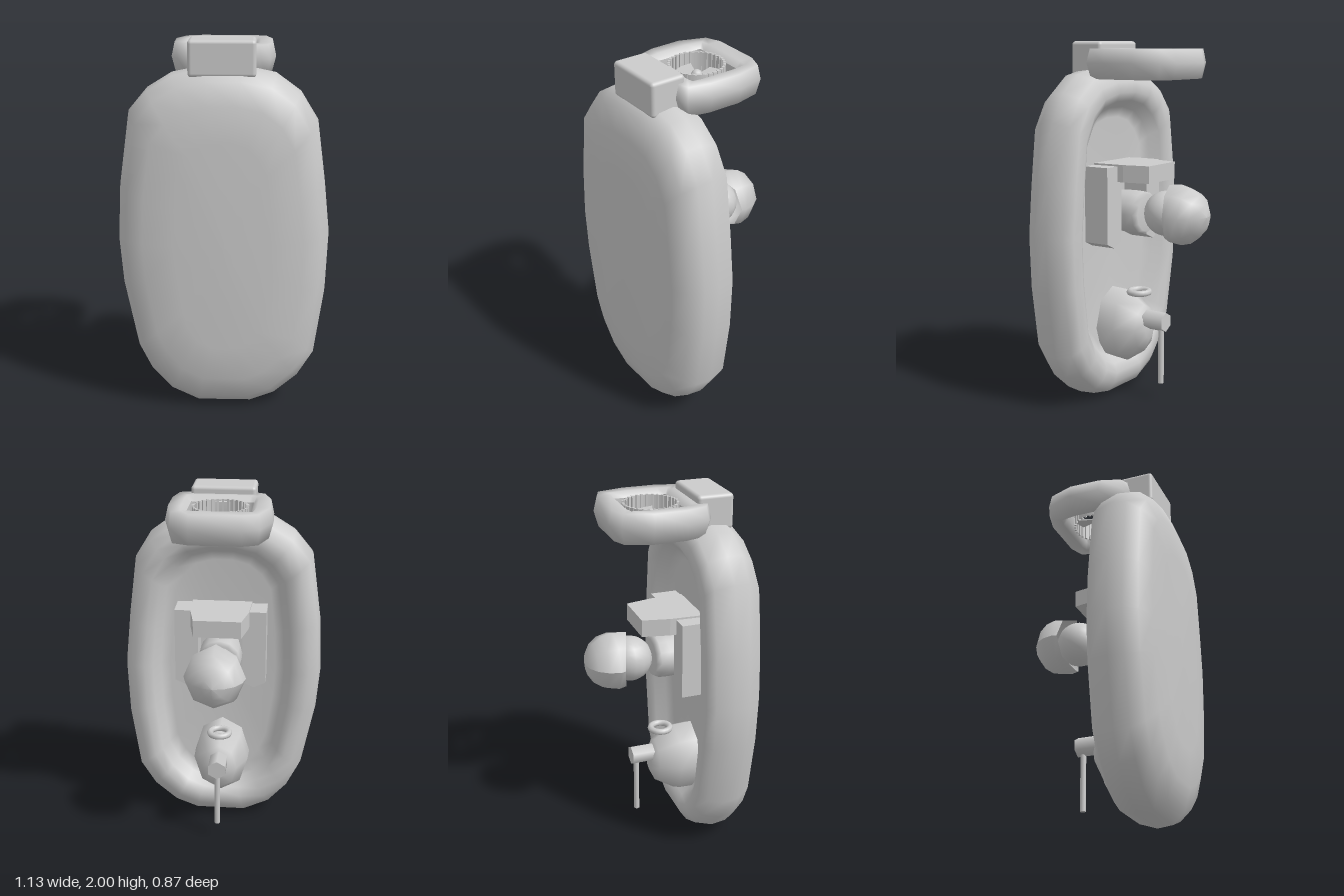
import * as THREE from 'three';
import { RoundedBoxGeometry } from 'three/addons/geometries/RoundedBoxGeometry.js';

const grey = new THREE.MeshStandardMaterial({ color: 0xcccccc });
const greyOpen = new THREE.MeshStandardMaterial({ color: 0xcccccc, side: THREE.DoubleSide });

// Skin a list of equal-sized closed point rings with smooth normals
function loft(rows) {
  const n = rows[0].length;
  const index = [];
  for (let i = 0; i < rows.length - 1; i++) {
    for (let j = 0; j < n; j++) {
      const k = (j + 1) % n;
      const a = i * n + j, b = i * n + k, c = (i + 1) * n + k, d = (i + 1) * n + j;
      index.push(a, d, c, a, c, b);
    }
  }
  const geo = new THREE.BufferGeometry();
  geo.setAttribute('position', new THREE.Float32BufferAttribute(rows.flat(2), 3));
  geo.setIndex(index);
  geo.computeVertexNormals();
  return geo;
}

function extrude(points, depth) {
  const shape = new THREE.Shape(points.map(([x, y]) => new THREE.Vector2(x, y)));
  return new THREE.ExtrudeGeometry(shape, { depth, bevelEnabled: false });
}

// Turned shape whose axis points out of the cockpit, towards -z
function turned(profile, sides) {
  return new THREE.LatheGeometry(profile.map(([r, h]) => new THREE.Vector2(r, h)), sides).rotateX(-Math.PI / 2);
}

export function createModel() {
  const root = new THREE.Group();
  const add = (name, geo, x = 0, y = 0, z = 0, mat = grey, parent = root) => {
    const mesh = new THREE.Mesh(geo, mat);
    mesh.name = name;
    mesh.position.set(x, y, z);
    parent.add(mesh);
    return mesh;
  };

  // Inflated hull: one slightly uneven outline carried over the underside, rim and cockpit floor
  const outline = [[0.15, 0], [0.28, 0.05], [0.41, 0.16], [0.497, 0.3], [0.55, 0.66], [0.563, 0.97],
    [0.535, 1.25], [0.492, 1.58], [0.4, 1.73], [0.27, 1.825], [0.1, 1.86],
    [-0.1, 1.86], [-0.27, 1.825], [-0.4, 1.745], [-0.5, 1.625], [-0.552, 1.25],
    [-0.566, 0.95], [-0.545, 0.7], [-0.47, 0.33], [-0.4, 0.19], [-0.29, 0.07], [-0.14, 0]];
  const hullSections = [[0, 0, 0.435], [0.45, 0.6, 0.432], [0.75, 0.8, 0.415], [0.91, 0.93, 0.37],
    [0.985, 0.99, 0.3], [1, 1, 0.215], [0.97, 0.965, 0.115], [0.88, 0.91, 0.08], [0.78, 0.85, 0.072],
    [0.7, 0.8, 0.1], [0.63, 0.76, 0.155], [0.54, 0.7, 0.185], [0, 0, 0.19]];
  add('hull', loft(hullSections.map(([sx, sy, z]) =>
    outline.map(([x, y]) => [x * sx, 0.93 + (y - 0.93) * sy, z]))));

  // Padded fan frame with a rectangular opening
  const outer = [[0.27, -0.05], [0.27, 0.13], [0.23, 0.285], [0.13, 0.325], [-0.14, 0.325], [-0.23, 0.285],
    [-0.29, 0.13], [-0.285, -0.05], [-0.24, -0.18], [-0.19, -0.21], [0.19, -0.2], [0.24, -0.18]];
  const inner = [[0.16, -0.05], [0.16, 0.13], [0.16, 0.2], [0.13, 0.2], [-0.14, 0.2], [-0.175, 0.2],
    [-0.175, 0.13], [-0.175, -0.05], [-0.175, -0.085], [-0.15, -0.085], [0.13, -0.085], [0.16, -0.085]];
  const frameSections = [[0, 1.93], [0.25, 1.96], [0.85, 1.96], [1, 1.885], [0.8, 1.8],
    [0.25, 1.8], [0, 1.83], [0, 1.93]];
  add('fanFrame', loft(frameSections.map(([t, y]) => outer.map(([x, z], i) =>
    [x * t + inner[i][0] * (1 - t), y, -(z * t + inner[i][1] * (1 - t))]))));

  // Fan: ribbed duct, hub and four widening blades
  const fan = new THREE.Group();
  fan.name = 'fan';
  fan.position.set(-0.01, 1.88, -0.057);
  root.add(fan);
  add('duct', new THREE.CylinderGeometry(0.148, 0.148, 0.13, 32, 1, true), 0, 0, 0, greyOpen, fan);
  add('ductLip', new THREE.RingGeometry(0.138, 0.15, 32).rotateX(-Math.PI / 2), 0, 0.065, 0, greyOpen, fan);
  for (let i = 0; i < 32; i++) {
    const a = (i / 32) * Math.PI * 2;
    const rib = add('ductRib', new THREE.BoxGeometry(0.012, 0.136, 0.012),
      Math.cos(a) * 0.144, 0, Math.sin(a) * 0.144, grey, fan);
    rib.rotation.y = -a;
  }
  add('fanHub', new THREE.SphereGeometry(0.03, 12, 8), 0, 0, 0, grey, fan);
  for (let i = 0; i < 4; i++) {
    const blade = extrude([[-0.01, 0.015], [0.01, 0.015], [0.055, 0.126], [0, 0.137], [-0.055, 0.126]], 0.008);
    blade.rotateX(-Math.PI / 2).rotateZ(0.15).rotateY(i * Math.PI / 2);
    add('fanBlade', blade, 0, -0.01, 0, grey, fan);
  }

  // Softened block joining the fan frame to the hull
  add('fanMount', new RoundedBoxGeometry(0.35, 0.19, 0.2, 3, 0.02), -0.008, 1.905, 0.24);

  // Seat: tapered back rest and a bolster on each side
  const backRest = extrude([[-0.17, -0.21], [0.17, -0.21], [0.16, 0], [0.13, 0.15], [-0.13, 0.15], [-0.16, 0]], 0.095);
  backRest.rotateX(-Math.PI / 2);
  add('seatBack', backRest, 0, 1.245, 0);
  for (const side of [-1, 1]) {
    add('seatBolster', extrude([[-0.065, 0.91], [0, 0.88], [0.065, 0.91], [0.065, 1.33], [-0.065, 1.33]], 0.17),
      side * 0.19, 0, 0.035);
  }

  // Rider: torso and head, sitting upright out of the cockpit
  add('torso', turned([[0.1, -0.21], [0.12, -0.1], [0.122, -0.02], [0.12, 0.03], [0.105, 0.058], [0, 0.05]], 12),
    0, 1.06, 0);
  add('head', new THREE.SphereGeometry(0.125, 16, 12), 0, 1.07, -0.18);

  // Helmet: eight-sided dome, its rim cut back at the sides
  const helmet = new THREE.SphereGeometry(0.168, 8, 5, 0, Math.PI * 2, 0, 1.9).rotateX(-Math.PI / 2);
  const p = helmet.attributes.position;
  for (let i = 0; i < p.count; i++) {
    if (p.getZ(i) > 0.04) p.setZ(i, p.getZ(i) + 0.015 - 0.33 * Math.abs(p.getX(i)));
  }
  helmet.computeVertexNormals();
  add('helmet', helmet, 0, 1.07, -0.268, greyOpen);

  // Console: narrow faceted dome ahead of the rider
  add('console', turned([[0.215, -0.21], [0.21, -0.08], [0.135, 0.035], [0.06, 0.07], [0, 0.072]], 8)
    .scale(0.75, 1, 1), 0, 0.395, 0);

  // Steering wheel
  add('steeringWheel', new THREE.TorusGeometry(0.055, 0.018, 8, 20).rotateX(Math.PI / 2), 0, 0.602, 0);

  // Forward-pointing barrel on a six-sided bracket
  add('barrelBracket', new THREE.CylinderGeometry(0.055, 0.055, 0.13, 6).rotateX(Math.PI / 2), 0, 0.45, -0.115);
  add('barrel', new THREE.CylinderGeometry(0.016, 0.016, 0.34, 10), 0, 0.26, -0.148);

  return root;
}
